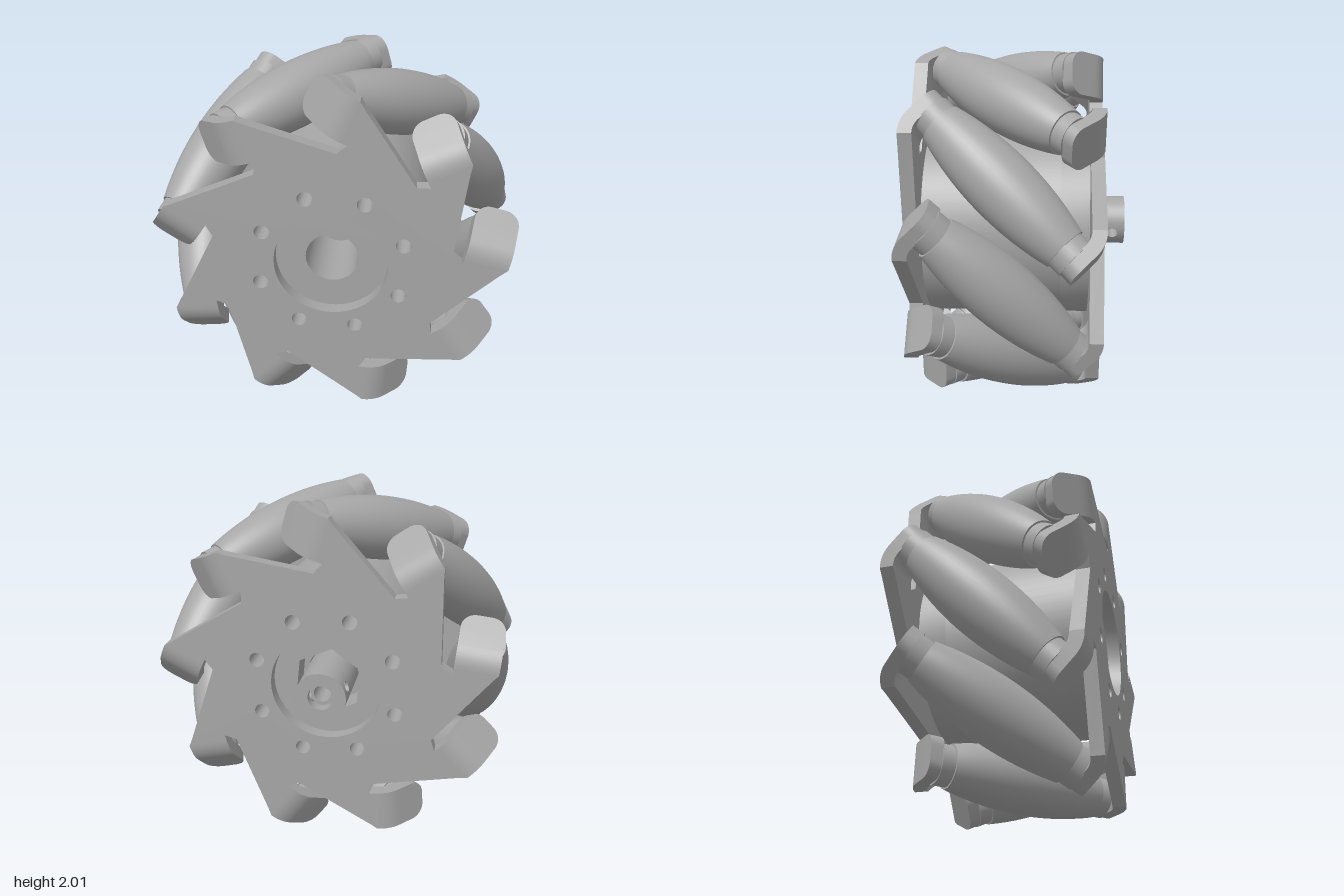
import * as THREE from 'three';
import { toCreasedNormals } from 'three/addons/utils/BufferGeometryUtils.js';

const COUNT = 9;
const STEP = (Math.PI * 2) / COUNT;
const AXIS_R = 0.81; // distance of roller axes from the wheel axis
const PLATE_T = 0.075; // sheet thickness
const PLATE_W = 0.455; // inner face of each plate from the wheel's mid plane

const metal = new THREE.MeshStandardMaterial({ color: 0xa6a6a6, side: THREE.DoubleSide });
metal.name = 'grey metal';

function add(parent, name, geometry) {
  const mesh = new THREE.Mesh(geometry, metal);
  mesh.name = name;
  parent.add(mesh);
  return mesh;
}

function circle(r, x = 0, y = 0) {
  return new THREE.Path().absarc(x, y, r, 0, Math.PI * 2, true);
}

// Eight bolt holes; the angle is mirrored for the back plate
function boltHoles(side) {
  return Array.from({ length: 8 }, (_, i) => {
    const a = Math.PI / 2 - side * 0.035 + (i * Math.PI) / 4;
    return circle(0.042, 0.41 * Math.cos(a), 0.41 * Math.sin(a));
  });
}

function extrude(shape, z0, z1) {
  const geo = new THREE.ExtrudeGeometry(shape, { depth: z1 - z0, bevelEnabled: false, curveSegments: 32 });
  geo.translate(0, 0, z0);
  return toCreasedNormals(geo, 0.5);
}

// Saw-toothed side plate with slots beside each tab
function plateGeometry(side) {
  const tooth = [[-0.237, 0.606], [-0.205, 0.67], [-0.2415, 0.67], [-0.2415, 0.91], [-0.2, 0.88]];
  const points = [];
  for (let k = 0; k < COUNT; k++) {
    for (const [x, y] of tooth) {
      points.push(new THREE.Vector2(x, y).rotateAround(new THREE.Vector2(), -k * STEP));
    }
  }
  const shape = new THREE.Shape(points);
  shape.holes.push(circle(0.31), ...boltHoles(side));
  return extrude(shape, PLATE_W, PLATE_W + PLATE_T);
}

// Tab bent 45 degrees out of the plate, with a rounded tip
function tabGeometry() {
  const R = 0.14, LENGTH = 0.178, HALF = 0.12, CORNER = 0.08, uMid = 0.79;
  const mid = PLATE_W + PLATE_T / 2;
  const rings = [];
  const ring = (x, z, a, half) => {
    const nx = (-Math.sin(a) * PLATE_T) / 2, nz = (Math.cos(a) * PLATE_T) / 2;
    rings.push([
      [x + nx, uMid + half, z + nz], [x + nx, uMid - half, z + nz],
      [x - nx, uMid - half, z - nz], [x - nx, uMid + half, z - nz],
    ]);
  };
  const bend = Math.PI / 4;
  for (let i = 0; i <= 8; i++) {
    const a = (bend * i) / 8;
    ring(-0.2415 - R * Math.sin(a), mid - R * (1 - Math.cos(a)), a, HALF);
  }
  const x0 = -0.2415 - R * Math.sin(bend), z0 = mid - R * (1 - Math.cos(bend));
  for (let i = 0; i <= 8; i++) {
    const q = (i / 8) * (Math.PI / 2);
    const d = LENGTH - CORNER + CORNER * Math.sin(q);
    ring(x0 - d * Math.SQRT1_2, z0 - d * Math.SQRT1_2, bend, HALF - CORNER + CORNER * Math.cos(q));
  }
  const pos = [];
  const quad = (a, b, c, d) => pos.push(...a, ...b, ...c, ...a, ...c, ...d);
  for (let i = 0; i < rings.length - 1; i++) {
    for (let j = 0; j < 4; j++) {
      const n = (j + 1) % 4;
      quad(rings[i][j], rings[i + 1][j], rings[i + 1][n], rings[i][n]);
    }
  }
  const end = rings[rings.length - 1];
  quad(end[0], end[3], end[2], end[1]);
  const geo = new THREE.BufferGeometry();
  geo.setAttribute('position', new THREE.Float32BufferAttribute(pos, 3));
  return toCreasedNormals(geo, 0.5);
}

// Barrel roller, lying at 45 degrees to the wheel axis
function rollerGeometry() {
  const half = 0.455;
  const profile = [new THREE.Vector2(0, -half)];
  for (let i = 0; i <= 20; i++) {
    const s = i / 10 - 1;
    profile.push(new THREE.Vector2(0.18 - 0.058 * s * s, s * half));
  }
  profile.push(new THREE.Vector2(0, half));
  return layOnAxis(toCreasedNormals(new THREE.LatheGeometry(profile, 40), 0.5));
}

function layOnAxis(geo) {
  return geo.rotateX(Math.PI / 2).rotateY(-Math.PI / 4).translate(0, AXIS_R, 0);
}

// Square patch of the hub wall with a round hole, wrapped on the cylinder
function hubPatch(direction, r, half, zMid) {
  const geo = new THREE.PlaneGeometry(1, 1, 32, 5);
  const p = geo.attributes.position;
  for (let i = 0; i < p.count; i++) {
    const a = (p.getX(i) + 0.5) * Math.PI * 2, v = p.getY(i) + 0.5;
    const c = Math.cos(a), s = Math.sin(a);
    const d = THREE.MathUtils.lerp(0.03, half / Math.max(Math.abs(c), Math.abs(s)), v);
    const theta = direction + (c * d) / r;
    p.setXYZ(i, r * Math.cos(theta), r * Math.sin(theta), zMid + s * d);
  }
  return toCreasedNormals(geo, 0.6);
}

function buildHub() {
  const hub = new THREE.Group();
  hub.name = 'hub';
  const r = 0.14, half = 0.07, zMid = -0.53;
  const profile = [[r, -0.46], [r, 0.1], [0.06, 0.1], [0.048, 0.085], [0.048, -0.54], [0.07, -0.54], [0.07, -0.6], [r, -0.6]];
  const core = new THREE.LatheGeometry(profile.map(([x, y]) => new THREE.Vector2(x, y)), 40);
  add(hub, 'hubCore', toCreasedNormals(core, 0.5).rotateX(Math.PI / 2));
  for (let i = 0; i < 2; i++) {
    const dir = -0.36 + i * Math.PI;
    add(hub, 'hubScrewWall', hubPatch(dir, r, half, zMid));
    const wall = new THREE.CylinderGeometry(r, r, half * 2, 20, 1, true, dir + 0.5 + Math.PI / 2, Math.PI - 1);
    add(hub, 'hubWall', wall.rotateX(Math.PI / 2).translate(0, 0, zMid));
    const tunnel = new THREE.CylinderGeometry(0.03, 0.03, 0.08, 20, 1, true);
    tunnel.rotateZ(-Math.PI / 2).translate(0.1, 0, zMid).rotateZ(dir);
    add(hub, 'screwHole', tunnel);
  }
  return hub;
}

export function createModel() {
  const model = new THREE.Group();
  model.name = 'rollerWheel';

  const wheel = new THREE.Group();
  wheel.name = 'wheel';
  wheel.position.set(0, 1, 0.07);
  wheel.rotation.z = THREE.MathUtils.degToRad(-24);
  model.add(wheel);

  // Core drum, with a hexagonal pocket at the back
  const drum = new THREE.Shape().absarc(0, 0, 0.55, 0, Math.PI * 2);
  drum.holes.push(circle(0.145), ...boltHoles(1));
  add(wheel, 'drum', extrude(drum, -0.3, PLATE_W));
  const pocket = new THREE.Shape().absarc(0, 0, 0.55, 0, Math.PI * 2);
  const hex = Array.from({ length: 6 }, (_, i) =>
    new THREE.Vector2(0.2 * Math.cos((i * Math.PI) / 3), 0.2 * Math.sin((i * Math.PI) / 3)));
  pocket.holes.push(new THREE.Path(hex), ...boltHoles(1));
  add(wheel, 'drumPocket', extrude(pocket, -PLATE_W, -0.3));

  // Side plates: the back one is the front one turned half round
  const tab = tabGeometry();
  const collar = layOnAxis(new THREE.CylinderGeometry(0.112, 0.112, 0.08, 32).translate(0, 0.49, 0));
  for (const side of [1, -1]) {
    const half = new THREE.Group();
    half.name = side > 0 ? 'frontSide' : 'backSide';
    if (side < 0) half.rotation.y = Math.PI;
    add(half, 'plate', plateGeometry(side));
    for (let k = 0; k < COUNT; k++) {
      add(half, 'tab', tab).rotation.z = k * STEP;
      add(half, 'collar', collar).rotation.z = k * STEP;
    }
    wheel.add(half);
  }

  // Rollers
  const roller = rollerGeometry();
  for (let k = 0; k < COUNT; k++) add(wheel, 'roller', roller).rotation.z = k * STEP;

  const hub = buildHub();
  hub.position.y = 1;
  model.add(hub);
  return model;
}
